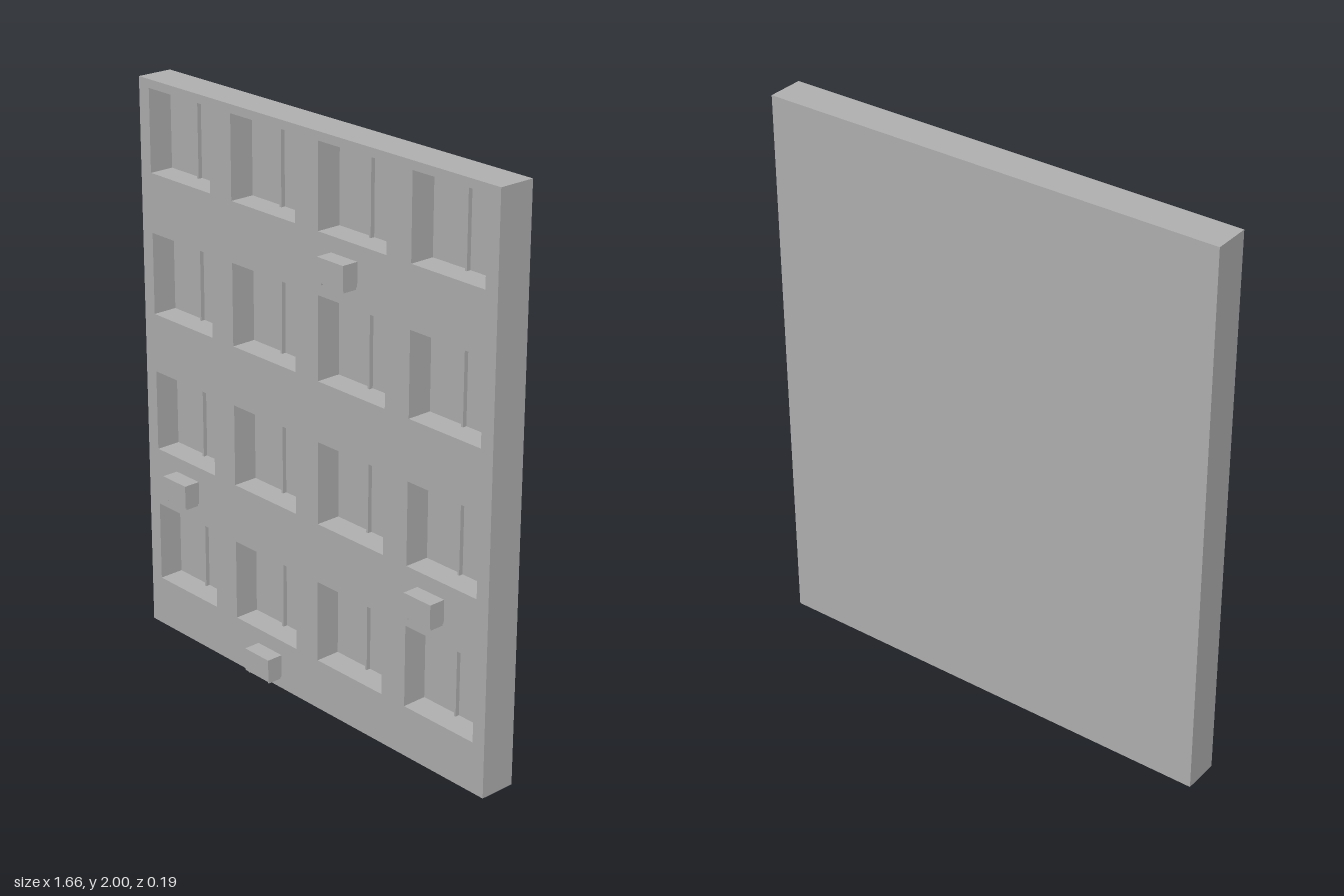
import * as THREE from 'three';

const concrete = new THREE.MeshStandardMaterial({ color: 0xb2b2b2 });
concrete.name = 'concrete grey';

const W = 1.664, H = 2;
const BACK = -0.095, GLASS = -0.055, FRONT = 0.035;
const columns = [-0.626, -0.209, 0.209, 0.626];
const rows = [0.18, 0.68, 1.18, 1.68];
const winW = 0.31, winH = 0.29;

// box given by its centre x, bottom y and back z
function block(name, w, h, d, x, y, z) {
  const mesh = new THREE.Mesh(new THREE.BoxGeometry(w, h, d), concrete);
  mesh.name = name;
  mesh.position.set(x, y + h / 2, z + d / 2);
  return mesh;
}

function rectangle(target, x0, y0, x1, y1) {
  target.moveTo(x0, y0);
  target.lineTo(x1, y0);
  target.lineTo(x1, y1);
  target.lineTo(x0, y1);
  target.closePath();
  return target;
}

// air conditioner on two small brackets
function airConditioner(x, y) {
  const unit = new THREE.Group();
  unit.name = 'airConditioner';
  unit.add(block('casing', 0.12, 0.082, 0.06, 0, 0.01, 0));
  for (const side of [-1, 1]) {
    unit.add(block('bracket', 0.007, 0.01, 0.052, side * 0.051, 0, 0));
  }
  unit.position.set(x, y, FRONT);
  return unit;
}

export function createModel() {
  const model = new THREE.Group();
  model.name = 'apartmentFacade';

  // front wall with window openings
  const wall = rectangle(new THREE.Shape(), -W / 2, 0, W / 2, H);
  for (const x of columns) {
    for (const y of rows) {
      wall.holes.push(rectangle(new THREE.Path(), x - winW / 2, y, x + winW / 2, y + winH));
    }
  }
  const wallGeometry = new THREE.ExtrudeGeometry(wall, { depth: FRONT - GLASS, bevelEnabled: false });
  const frontWall = new THREE.Mesh(wallGeometry, concrete);
  frontWall.name = 'frontWall';
  frontWall.position.z = GLASS;
  model.add(frontWall);

  // back slab closes the recesses
  model.add(block('backWall', W, H, GLASS - BACK, 0, 0, BACK));

  // centre mullion in every window
  for (const x of columns) {
    for (const y of rows) model.add(block('windowMullion', 0.008, winH, 0.015, x, y, GLASS));
  }

  // air conditioners
  for (const [x, y] of [[0.175, 1.534], [-0.62, 0.534], [0.582, 0.534], [-0.19, 0.034]]) {
    model.add(airConditioner(x, y));
  }
  return model;
}
